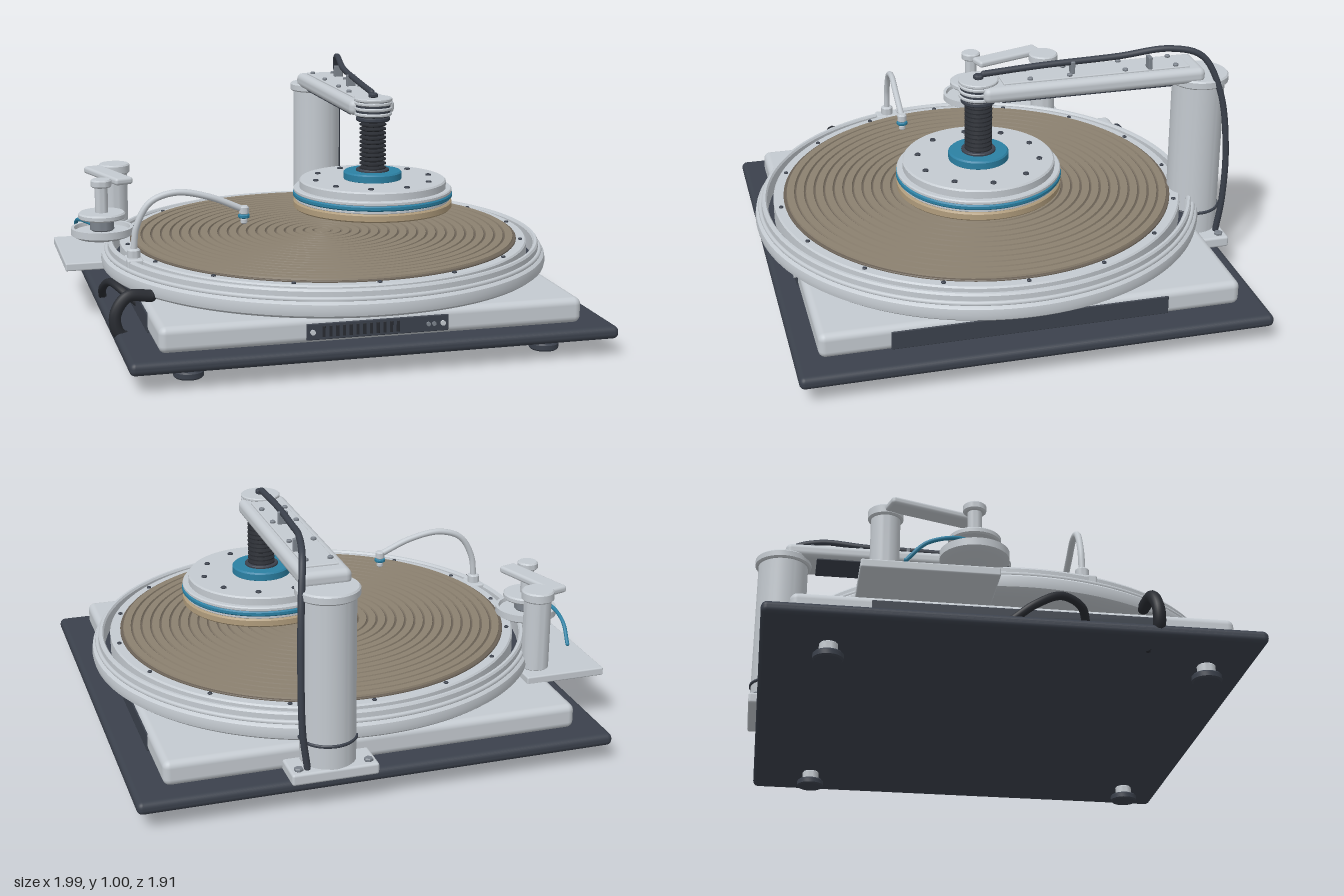
import * as THREE from 'three';
import { toCreasedNormals } from 'three/addons/utils/BufferGeometryUtils.js';
import { RoundedBoxGeometry } from 'three/addons/geometries/RoundedBoxGeometry.js';

const mat = (name, color) => Object.assign(new THREE.MeshStandardMaterial({ color }), { name });

export function createModel() {
  const metal = mat('light metal', 0xc4cad0);
  const dark = mat('dark slate', 0x3b414c);
  const black = mat('black rubber', 0x282b31);
  const blue = mat('blue trim', 0x2b80a3);
  const tan = mat('tan ring', 0xb09c7c);
  const pad = mat('pad', 0x8b806f);
  const groove = mat('pad groove', 0x6b6257);
  const steel = mat('screw steel', 0x7c838c);

  const root = new THREE.Group();
  const group = (name, x = 0, y = 0, z = 0) => {
    const g = new THREE.Group();
    g.name = name;
    g.position.set(x, y, z);
    root.add(g);
    return g;
  };
  const add = (parent, name, geo, material, x = 0, y = 0, z = 0) => {
    const m = new THREE.Mesh(geo, material);
    m.name = name;
    m.position.set(x, y, z);
    parent.add(m);
    return m;
  };
  // rounded box given by its extents
  const box = (parent, name, material, [x0, x1], [y0, y1], [z0, z1], r = 0.01) =>
    add(parent, name, new RoundedBoxGeometry(x1 - x0, y1 - y0, z1 - z0, 3, r), material,
      (x0 + x1) / 2, (y0 + y1) / 2, (z0 + z1) / 2);
  const lathe = (parent, name, material, pts, seg = 96) =>
    add(parent, name, toCreasedNormals(
      new THREE.LatheGeometry(pts.map(p => new THREE.Vector2(...p)), seg), 0.6), material);
  // disc with a small chamfer, centred on the parent axis
  const disc = (parent, name, material, r, y0, y1, x = 0, z = 0, seg = 64) => {
    const c = Math.min(0.006, (y1 - y0) / 4);
    const m = lathe(parent, name, material,
      [[0, y0], [r - c, y0], [r, y0 + c], [r, y1 - c], [r - c, y1], [0, y1]], seg);
    m.position.set(x, 0, z);
    return m;
  };
  const tube = (parent, name, material, pts, r, seg = 48) => {
    const curve = new THREE.CatmullRomCurve3(pts.map(p => new THREE.Vector3(...p)));
    add(parent, name, new THREE.TubeGeometry(curve, seg, r, 10), material);
    for (const p of [pts[0], pts[pts.length - 1]])
      add(parent, name + 'End', new THREE.SphereGeometry(r, 10, 8), material, ...p);
  };
  const screwRing = (parent, n, r, y, size, material) => {
    for (let i = 0; i < n; i++) {
      const a = (i / n) * Math.PI * 2;
      disc(parent, 'screw', material, size, y, y + 0.008, r * Math.cos(a), r * Math.sin(a), 10);
    }
  };

  // base plate, feet and housing
  const base = group('base');
  box(base, 'basePlate', dark, [-0.885, 0.993], [0.068, 0.118], [-0.915, 0.92], 0.022);
  box(base, 'housing', metal, [-0.765, 0.874], [0.115, 0.215], [-0.815, 0.83], 0.028);
  for (const x of [-0.645, 0.755]) for (const z of [-0.665, 0.745]) {
    disc(base, 'footStem', metal, 0.035, 0.025, 0.07, x, z, 24);
    disc(base, 'footPad', dark, 0.057, 0, 0.03, x, z, 32);
  }
  box(base, 'sidePanel', dark, [0.868, 0.878], [0.122, 0.196], [-0.52, 0.56], 0.003);
  box(base, 'sidePanel', dark, [-0.769, -0.759], [0.122, 0.196], [-0.52, 0.56], 0.003);

  // front control panel
  const panel = group('controlPanel');
  box(panel, 'panelPlate', dark, [-0.22, 0.33], [0.13, 0.192], [0.826, 0.836], 0.003);
  for (const [x, r, m] of [[-0.197, 0.01, metal], [0.307, 0.01, metal], [0.25, 0.008, steel], [0.272, 0.008, steel]]) {
    const b = add(panel, 'panelButton', new THREE.CylinderGeometry(r, r, 0.012, 16), m, x, 0.161, 0.838);
    b.rotation.x = Math.PI / 2;
  }
  for (let i = 0; i < 12; i++)
    box(panel, 'ventSlot', black, [-0.16 + i * 0.026, -0.148 + i * 0.026], [0.14, 0.182], [0.834, 0.838], 0.001);

  // splash basin
  const table = group('polishingTable', 0.055, 0, 0.035);
  disc(table, 'pedestal', dark, 0.3, 0.2, 0.25);
  lathe(table, 'basin', metal, [[0, 0.226], [0.86, 0.226], [0.9, 0.232], [0.913, 0.242], [0.917, 0.262],
    [0.913, 0.285], [0.9, 0.296], [0.888, 0.3], [0.888, 0.328], [0.882, 0.336], [0.872, 0.336],
    [0.866, 0.328], [0.866, 0.25], [0, 0.25]], 128);
  const bead = add(table, 'basinBead', new THREE.TorusGeometry(0.893, 0.01, 8, 128), metal, 0, 0.3, 0);
  bead.rotation.x = Math.PI / 2;
  lathe(table, 'basinGutter', dark, [[0.866, 0.256], [0.82, 0.256]], 96);

  // platter and grooved pad
  disc(table, 'platter', metal, 0.84, 0.25, 0.338, 0, 0, 128);
  disc(table, 'padBacking', groove, 0.798, 0.335, 0.344, 0, 0, 128);
  const step = 0.0395;
  for (let i = 0; i < 20; i++) {
    const r0 = i * step + 0.004, r1 = (i + 1) * step - 0.006;
    lathe(table, 'padRing', pad, [[r1 + 0.003, 0.342], [r1, 0.351], [r0, 0.351], [r0 - 0.003, 0.342]], 96);
  }
  screwRing(table, 16, 0.815, 0.336, 0.009, dark);

  // carrier head
  const head = group('carrierHead', 0.257, 0, 0.077);
  disc(head, 'retainingRing', tan, 0.328, 0.452, 0.486);
  disc(head, 'lowerFlange', metal, 0.32, 0.484, 0.5);
  disc(head, 'blueBand', blue, 0.33, 0.498, 0.52);
  disc(head, 'upperFlange', metal, 0.327, 0.518, 0.536);
  disc(head, 'topDisc', metal, 0.303, 0.53, 0.57);
  screwRing(head, 10, 0.243, 0.568, 0.012, dark);
  disc(head, 'blueHub', blue, 0.12, 0.565, 0.603);
  disc(head, 'hubCollar', dark, 0.068, 0.6, 0.612);

  // bellows around the spindle
  const folds = [[0, 0.605]];
  for (let i = 0; i <= 12; i++) {
    const y = 0.607 + i * 0.018;
    folds.push([0.04, y], [0.055, y + 0.006], [0.055, y + 0.011]);
  }
  folds.push([0.04, 0.84], [0, 0.84]);
  lathe(head, 'bellows', black, folds, 32);
  disc(head, 'spindleCollar', dark, 0.07, 0.81, 0.83);
  disc(head, 'spindleDrum', dark, 0.072, 0.828, 0.9);
  for (const y of [0.834, 0.856, 0.878]) disc(head, 'drumRing', metal, 0.078, y, y + 0.013);
  disc(head, 'spindleCap', metal, 0.079, 0.893, 0.907);
  disc(head, 'cableGland', dark, 0.02, 0.905, 0.925, 0, 0, 16);

  // support column
  const column = group('column', 0.258, 0, -0.84);
  box(column, 'columnFoot', metal, [-0.168, 0.168], [0.117, 0.163], [-0.11, 0.11], 0.01);
  for (const x of [-0.135, 0.135]) for (const z of [-0.075, 0.075])
    disc(column, 'footBolt', steel, 0.018, 0.16, 0.175, x, z, 6);
  disc(column, 'columnShaft', metal, 0.106, 0.15, 0.83);
  disc(column, 'columnBand', dark, 0.113, 0.25, 0.262);
  disc(column, 'columnCap', metal, 0.12, 0.812, 0.848);

  // overhead arm
  const arm = group('overheadArm');
  box(arm, 'armBeam', metal, [0.16, 0.354], [0.832, 0.895], [-0.835, 0.075], 0.025);
  box(arm, 'armUnderside', dark, [0.178, 0.336], [0.827, 0.836], [-0.7, 0.0], 0.003);
  box(arm, 'armCover', metal, [0.195, 0.32], [0.89, 0.902], [-0.775, -0.01], 0.004);
  for (const z of [-0.72, -0.51, -0.28, -0.12])
    for (const x of [0.21, 0.305]) disc(arm, 'coverScrew', steel, 0.011, 0.9, 0.912, x, z, 12);
  for (const [x, z] of [[0.27, -0.3], [0.3, -0.61]])
    box(arm, 'cableClip', steel, [x - 0.02, x + 0.02], [0.9, 0.952], [z - 0.008, z + 0.008], 0.004);
  tube(arm, 'powerCable', dark, [[0.257, 0.925, 0.055], [0.263, 0.94, -0.17], [0.285, 0.957, -0.48],
    [0.318, 0.983, -0.69], [0.345, 0.95, -0.815], [0.372, 0.8, -0.89], [0.385, 0.55, -0.925],
    [0.38, 0.32, -0.925], [0.36, 0.17, -0.915]], 0.013, 80);

  // conditioner station
  const cond = group('conditioner');
  box(cond, 'shelf', metal, [-1, -0.665], [0.21, 0.243], [-0.58, -0.085], 0.006);
  disc(cond, 'post', metal, 0.055, 0.24, 0.55, -0.74, -0.478, 40);
  disc(cond, 'postCap', metal, 0.066, 0.535, 0.577, -0.74, -0.478, 40);
  const link = box(cond, 'swingArm', metal, [-0.04, 0.04], [0.543, 0.573], [-0.165, 0.165], 0.012);
  link.position.x = -0.788;
  link.position.z = -0.318;
  link.rotation.y = Math.atan2(0.1, 0.32);
  disc(cond, 'armTip', metal, 0.043, 0.541, 0.574, -0.838, -0.158, 32);
  disc(cond, 'stem', metal, 0.027, 0.36, 0.55, -0.838, -0.158, 24);
  disc(cond, 'upperDisc', metal, 0.097, 0.41, 0.436, -0.838, -0.158, 48);
  disc(cond, 'neck', steel, 0.05, 0.36, 0.412, -0.838, -0.158, 32);
  const cup = lathe(cond, 'cup', metal, [[0, 0.332], [0.105, 0.332], [0.128, 0.345], [0.128, 0.374],
    [0.115, 0.374], [0.112, 0.358], [0, 0.358]], 64);
  cup.position.set(-0.838, 0, -0.158);
  tube(cond, 'waterTube', blue, [[-0.87, 0.385, -0.145], [-0.915, 0.392, -0.225],
    [-0.925, 0.36, -0.34], [-0.915, 0.29, -0.415]], 0.008);

  // fluid delivery nozzle
  const feed = group('fluidFeed');
  box(feed, 'feedBracket', metal, [-0.8, -0.735], [0.25, 0.34], [0.205, 0.305], 0.008);
  disc(feed, 'feedSocket', metal, 0.026, 0.33, 0.375, -0.768, 0.255, 24);
  tube(feed, 'feedTube', metal, [[-0.768, 0.36, 0.255], [-0.755, 0.46, 0.255], [-0.7, 0.555, 0.256],
    [-0.6, 0.59, 0.26], [-0.47, 0.568, 0.268], [-0.335, 0.512, 0.27]], 0.013);
  disc(feed, 'nozzleBody', metal, 0.02, 0.49, 0.525, -0.33, 0.27, 20);
  disc(feed, 'nozzleRing', blue, 0.023, 0.476, 0.492, -0.33, 0.27, 20);
  disc(feed, 'nozzleTip', metal, 0.014, 0.452, 0.478, -0.33, 0.27, 20);

  // drain hoses on the side
  const hoses = group('drainHoses');
  tube(hoses, 'drainHose', black, [[-0.74, 0.245, 0.49], [-0.83, 0.25, 0.5], [-0.88, 0.18, 0.51],
    [-0.86, 0.105, 0.512], [-0.74, 0.09, 0.5]], 0.024);
  tube(hoses, 'supplyHose', black, [[-0.75, 0.15, 0.27], [-0.81, 0.2, 0.24], [-0.85, 0.22, 0.16],
    [-0.87, 0.17, 0.06], [-0.86, 0.11, -0.02]], 0.016);

  return root;
}
